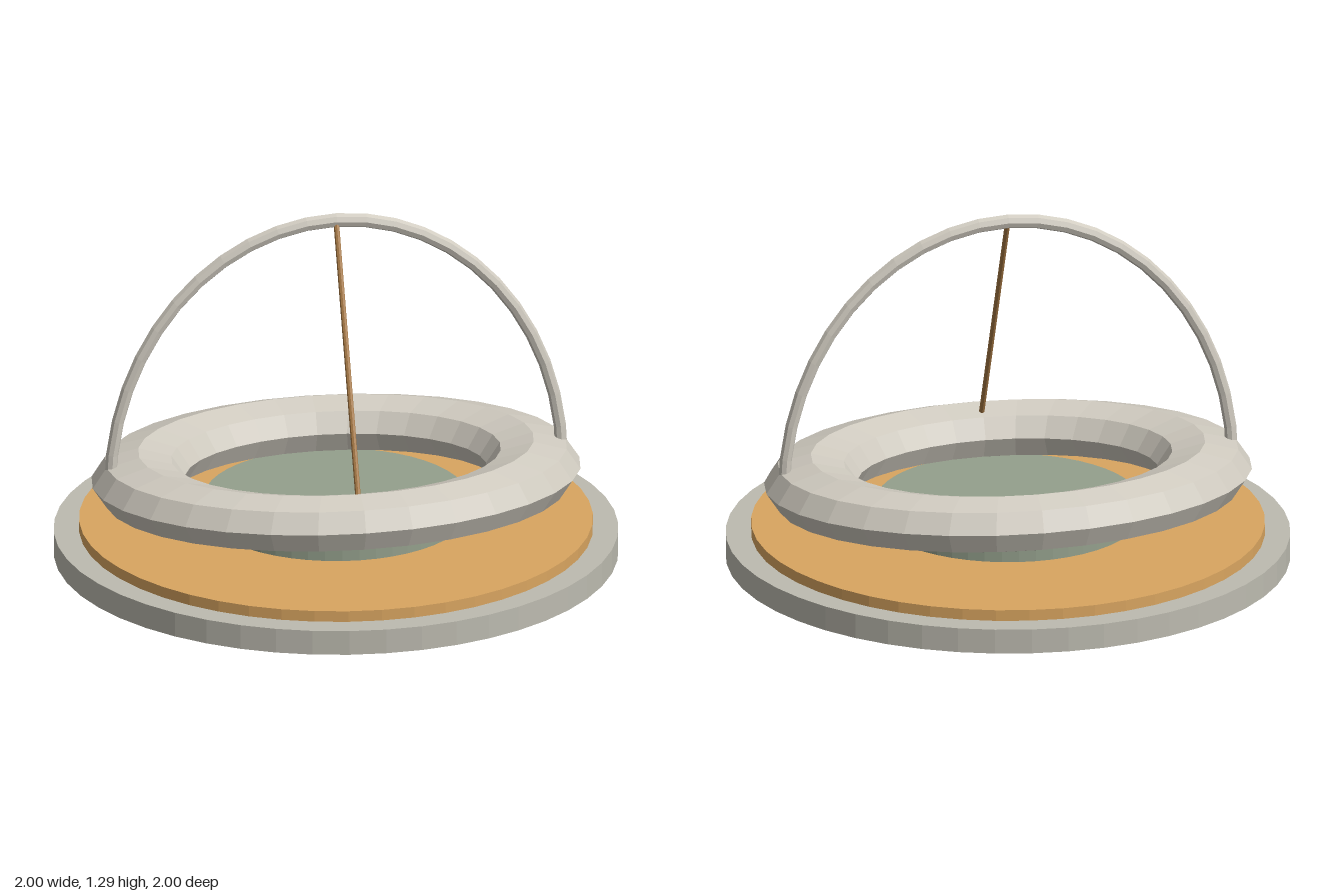
import * as THREE from 'three';

const mat = (color) => new THREE.MeshStandardMaterial({ color, flatShading: true });

export function createModel() {
  const group = new THREE.Group();
  const stone = mat(0xbdbbb0), pale = mat(0xcfcabf), amber = mat(0xd9a560);
  const sage = mat(0x94a08c), bronze = mat(0xa87a45);

  const add = (name, geometry, material) => {
    const mesh = new THREE.Mesh(geometry, material);
    mesh.name = name;
    group.add(mesh);
    return mesh;
  };

  // Flat round layer between two heights
  const disc = (name, radius, y0, y1, material) => {
    add(name, new THREE.CylinderGeometry(radius, radius, y1 - y0, 48), material)
      .position.y = (y0 + y1) / 2;
  };
  disc('base', 1, 0, 0.09, stone);
  disc('basePlate', 0.91, 0.09, 0.13, amber);
  disc('innerDisc', 0.467, 0.147, 0.21, sage);

  // Oval eight-sided ring
  const ring = new THREE.TorusGeometry(0.7075, 0.1675, 8, 32);
  ring.rotateX(Math.PI / 2);
  ring.scale(1, 0.627, 0.685);
  add('ovalRing', ring, pale).position.y = 0.3;

  // Half-oval arch whose feet sink into the ring
  const arch = new THREE.TorusGeometry(0.812, 0.022, 8, 24, Math.PI);
  arch.scale(1, 1.183, 1);
  add('arch', arch, pale).position.y = 0.3;

  // Slanted rod from the top of the arch to the front of the ring
  const top = new THREE.Vector3(0, 1.255, 0.005);
  const foot = new THREE.Vector3(0, 0.385, 0.435);
  const dir = top.clone().sub(foot);
  const rod = add('slantedRod', new THREE.CylinderGeometry(0.01, 0.01, dir.length(), 8), bronze);
  rod.position.copy(top).add(foot).multiplyScalar(0.5);
  rod.quaternion.setFromUnitVectors(new THREE.Vector3(0, 1, 0), dir.normalize());

  return group;
}
